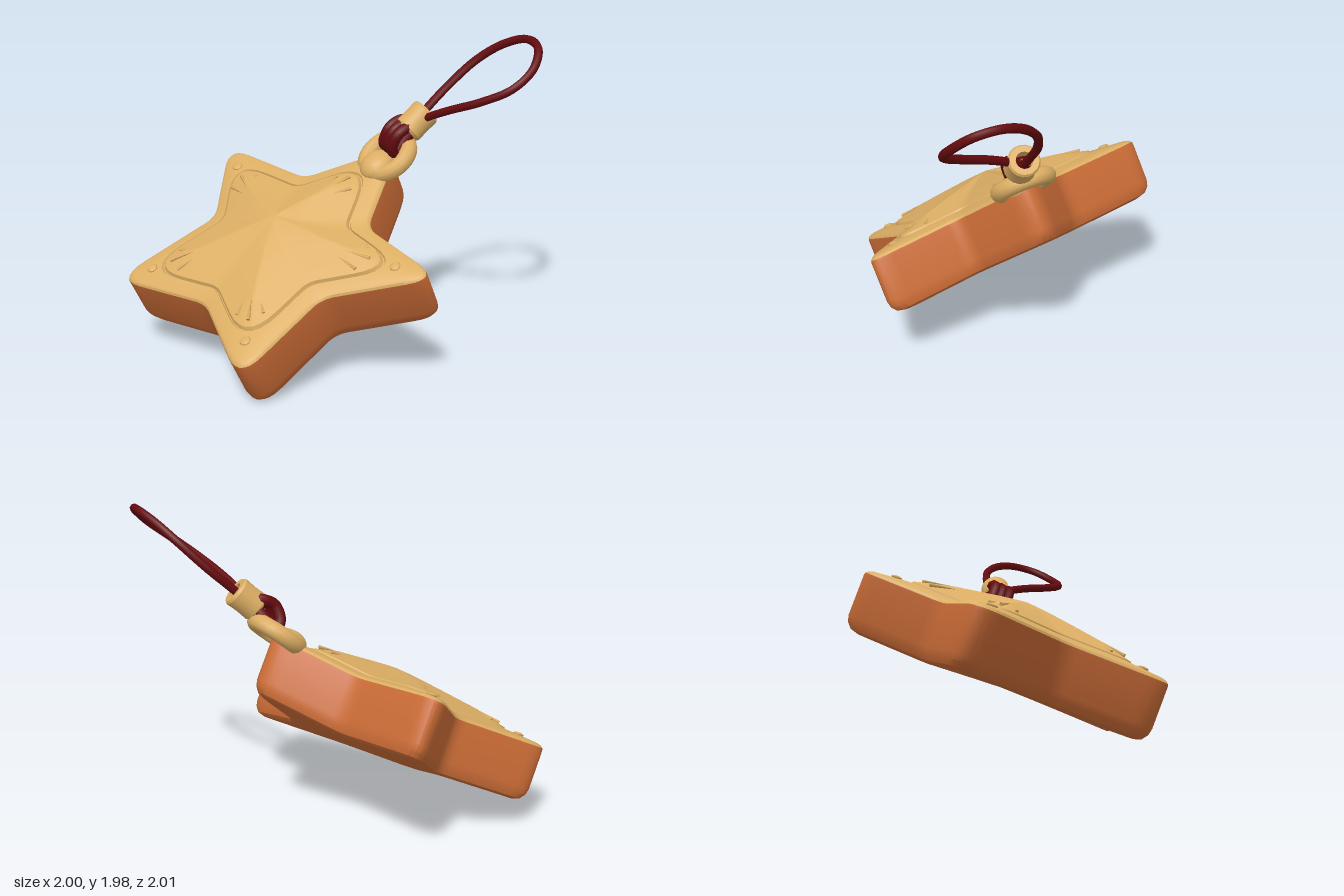
import * as THREE from 'three';
import { toCreasedNormals } from 'three/addons/utils/BufferGeometryUtils.js';

const V = (x, y, z) => new THREE.Vector3(x, y, z);
const CENTER = V(-0.15, 0.735, 0.3);
const PEAK_BASE = V(-0.15, 0.785, 0.205); // foot of the central peak
const UP = V(0.06, 0.86, 0.49).normalize(); // the way the star's face points

// Star corners, tip and notch in turn, counter-clockwise seen from the face
const CORNERS = [
  V(0.33, 0.26, 1.07), V(0.41, 0.59, 0.46),
  V(0.98, 0.76, 0.07), V(0.34, 0.89, -0.03),
  V(0.18, 1.27, -0.51), V(-0.33, 1.03, -0.19),
  V(-1.065, 1.09, -0.21), V(-0.72, 0.78, 0.25),
  V(-0.96, 0.47, 0.89), V(-0.25, 0.47, 0.78),
];

// Closed outline with rounded corners; tipCut sets how blunt the tips are
function outline(tipCut) {
  const pts = [];
  CORNERS.forEach((p, i) => {
    const cut = i % 2 ? 0.08 : tipCut;
    const toward = q => p.clone().add(q.clone().sub(p).setLength(cut));
    const a = toward(CORNERS[(i + 9) % 10]);
    const b = toward(CORNERS[(i + 1) % 10]);
    pts.push(...new THREE.QuadraticBezierCurve3(a, p, b).getPoints(7));
  });
  return pts;
}

// Skin over layers of [outline, scale about a centre, height along UP, centre]
function skin(layers) {
  const pos = [], index = [], n = layers[0][0].length;
  layers.forEach(([ring, s, h, center = CENTER], k) => {
    ring.forEach((p, j) => {
      const v = center.clone().lerp(p, s).addScaledVector(UP, h);
      pos.push(v.x, v.y, v.z);
      if (!k) return;
      const a = (k - 1) * n + j, b = (k - 1) * n + (j + 1) % n;
      index.push(a, b, a + n, b, b + n, a + n);
    });
  });
  const geo = new THREE.BufferGeometry();
  geo.setAttribute('position', new THREE.Float32BufferAttribute(pos, 3));
  geo.setIndex(index);
  return toCreasedNormals(geo, 0.55);
}

export function createModel() {
  const group = new THREE.Group();
  const material = (name, color) => {
    const m = new THREE.MeshStandardMaterial({ color });
    m.name = name;
    return m;
  };
  const gold = material('gold', 0xdcae64);
  const orange = material('burnt orange', 0xc96b36);
  const red = material('dark red', 0x640a0e);
  const add = (name, geo, mat) => {
    const mesh = new THREE.Mesh(geo, mat);
    mesh.name = name;
    group.add(mesh);
    return mesh;
  };

  // Star body: back and walls
  const edge = outline(0.2), panel = outline(0.36), ridge = outline(0.07);
  add('starBody', skin([
    [edge, 0.001, -0.35], [edge, 0.5, -0.352], [edge, 0.91, -0.355],
    [edge, 0.96, -0.34], [edge, 0.99, -0.305], [edge, 1, -0.265], [edge, 1, -0.015],
    [edge, 0.996, 0],
  ]), orange);

  // Star face: bevelled rim, groove, then a panel rising along five ridges
  const dome = [[0.5, 0.1], [0.35, 0.126], [0.2, 0.152], [0.07, 0.172], [0.001, 0.18]]
    .map(([s, h]) => [ridge, s, h, CENTER.clone().lerp(PEAK_BASE, 1 - s / 0.77)]);
  add('starFace', skin([
    [edge, 0.996, 0], [edge, 0.98, 0.014], [edge, 0.95, 0.022],
    [panel, 0.81, 0.04], [panel, 0.8, 0.026], [panel, 0.79, 0.028], [panel, 0.775, 0.05],
    ...dome,
  ]), gold);

  // Three raised strokes on every arm, and a flat stud on all but the ringed tip
  for (let i = 0; i < 10; i += 2) {
    const out = CORNERS[i].clone().sub(CENTER);
    if (i !== 4) {
      const stud = add('tipStud', new THREE.SphereGeometry(0.034, 10, 6), gold);
      stud.position.copy(CENTER).addScaledVector(out, 0.75).addScaledVector(UP, 0.036);
      stud.quaternion.setFromUnitVectors(V(0, 1, 0), UP);
      stud.scale.y = 0.35;
    }
    for (const k of [-1, 0, 1]) {
      const dir = out.clone().applyAxisAngle(UP, k * 0.11);
      const stroke = add('armStroke', new THREE.ConeGeometry(0.012, 0.17, 5), gold);
      stroke.position.copy(CENTER).addScaledVector(dir, k ? 0.5 : 0.54)
        .addScaledVector(UP, k ? 0.076 : 0.084);
      const aim = out.clone().normalize().applyAxisAngle(UP, k * 0.33)
        .addScaledVector(UP, -0.2).normalize();
      stroke.quaternion.setFromUnitVectors(V(0, 1, 0), aim.negate());
    }
  }

  // Ring through the back tip, held by a rounded mount
  const ring = add('ring', new THREE.TorusGeometry(0.15, 0.054, 10, 28), gold);
  ring.position.set(0.155, 1.23, -0.42);
  ring.quaternion.setFromUnitVectors(V(0, 0, 1), V(-0.07, 0.77, 0.64).normalize());
  const mount = add('ringMount', new THREE.SphereGeometry(0.1, 16, 10), gold);
  mount.position.set(0.135, 1.175, -0.345);
  mount.quaternion.setFromUnitVectors(V(0, 1, 0), UP);
  mount.scale.set(1.05, 0.8, 1.2);

  // Hollow bead that gathers the cord
  const profile = [[0.05, -0.09], [0.085, -0.09], [0.095, -0.075], [0.091, 0],
    [0.095, 0.075], [0.085, 0.09], [0.05, 0.09], [0.05, -0.09]];
  const bead = add('bead', toCreasedNormals(new THREE.LatheGeometry(
    profile.map(([x, y]) => new THREE.Vector2(x, y)), 18), 0.6), gold);
  bead.position.set(0.28, 1.45, -0.55);
  bead.quaternion.setFromUnitVectors(V(0, 1, 0), V(0.32, 0.6, -0.6).normalize());

  // Cord strands hitched over the front of the ring
  const tube = (pts, r, segs) =>
    new THREE.TubeGeometry(new THREE.CatmullRomCurve3(pts), segs, r, 8);
  const side = V(0.93, -0.24, 0.28);
  for (const k of [-1, 0, 1]) {
    const pts = [
      V(0.28, 1.45, -0.55), V(0.24, 1.44, -0.47), V(0.215, 1.4, -0.405),
      V(0.18, 1.31, -0.395), V(0.175, 1.27, -0.43), V(0.2, 1.33, -0.48), V(0.28, 1.45, -0.55),
    ].map((p, j) => p.addScaledVector(side, j % 6 ? k * 0.048 : k * 0.02));
    add('cordHitch', tube(pts, 0.036, 36), red);
  }

  // Hanging loop
  add('cordLoop', tube([
    V(0.27, 1.45, -0.56), V(0.3, 1.53, -0.64), V(0.36, 1.66, -0.77), V(0.47, 1.81, -0.89),
    V(0.62, 1.92, -0.955), V(0.78, 1.973, -0.972), V(0.91, 1.945, -0.91),
    V(0.968, 1.84, -0.78), V(0.915, 1.735, -0.655), V(0.75, 1.645, -0.585),
    V(0.53, 1.56, -0.555), V(0.38, 1.495, -0.545), V(0.29, 1.445, -0.545),
  ], 0.026, 90), red);

  return group;
}
